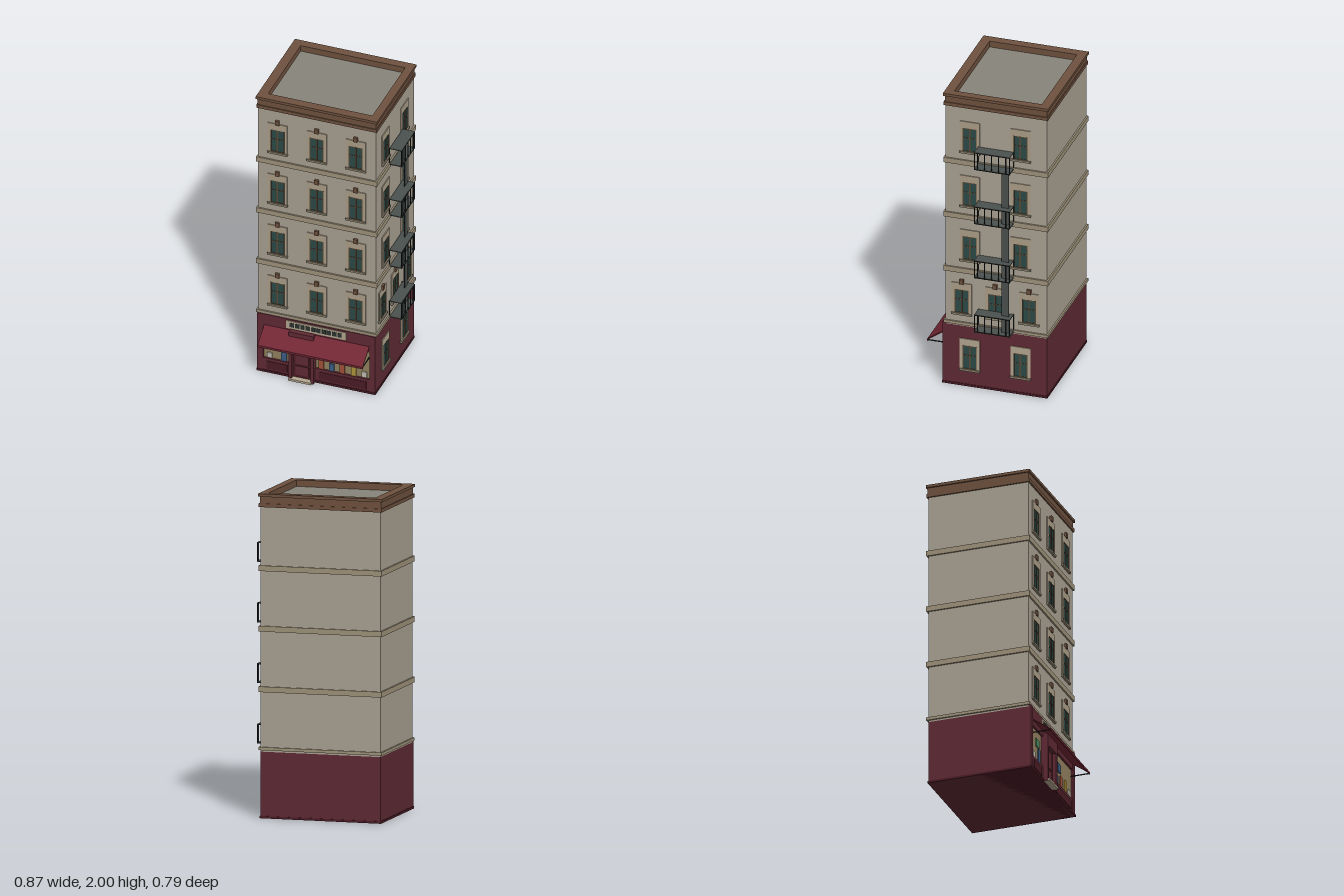
import * as THREE from 'three';

const mat = (color, side = THREE.FrontSide) =>
  new THREE.MeshStandardMaterial({ color, side, roughness: 0.9, flatShading: true });

const M = {
  wall: mat(0xaba394), band: mat(0xa0947c), trim: mat(0xaea08a), sill: mat(0x8f8772),
  brown: mat(0x70523f), roof: mat(0x88857b), red: mat(0x602a34), darkRed: mat(0x4c1c26),
  awning: mat(0x722835, THREE.DoubleSide), glass: mat(0x2c4b49), frame: mat(0x5e4a36),
  metal: mat(0x4b5250), iron: mat(0x232625), cream: mat(0xb5a890), display: mat(0x93825f),
  dark: mat(0x2a3330), blue: mat(0x3d5f86), orange: mat(0xa3523a), yellow: mat(0xb3963c),
  green: mat(0x4b8a62), white: mat(0xc4c0b4),
};

// Box given by its extents along each axis
function box(parent, name, m, x0, x1, y0, y1, z0, z1) {
  const mesh = new THREE.Mesh(new THREE.BoxGeometry(x1 - x0, y1 - y0, z1 - z0), m);
  mesh.position.set((x0 + x1) / 2, (y0 + y1) / 2, (z0 + z1) / 2);
  mesh.name = name;
  parent.add(mesh);
  return mesh;
}

function group(parent, name) {
  const g = new THREE.Group();
  g.name = name;
  parent.add(g);
  return g;
}

// Wall faces
const X0 = -0.425, X1 = 0.342, Z0 = -0.385, Z1 = 0.266;
const STOREY = 0.373;

// Rectangular ring around the roof
function ring(parent, name, m, out, y0, y1) {
  const s = new THREE.Shape();
  const [a, b, c, d] = [X0 - out, X1 + out, Z0 - out, Z1 + out];
  s.moveTo(a, -d).lineTo(b, -d).lineTo(b, -c).lineTo(a, -c).closePath();
  const h = new THREE.Path();
  h.moveTo(-0.378, -0.22).lineTo(-0.378, 0.34).lineTo(0.302, 0.34).lineTo(0.302, -0.22).closePath();
  s.holes.push(h);
  const geo = new THREE.ExtrudeGeometry(s, { depth: y1 - y0, bevelEnabled: false });
  geo.rotateX(-Math.PI / 2);
  const mesh = new THREE.Mesh(geo, m);
  mesh.position.y = y0;
  mesh.name = name;
  parent.add(mesh);
}

// Window facing +z, with its pane bottom at the origin
function makeWindow(parent, { keystone = false, surround = M.trim } = {}) {
  const g = group(parent, 'window');
  const W = 0.045, H = 0.16;
  for (const s of [-1, 1]) {
    const [a, b] = s < 0 ? [-0.064, -W] : [W, 0.064];
    box(g, 'surroundSide', surround, a, b, 0, H, -0.01, 0.006);
  }
  box(g, 'surroundTop', surround, -0.064, 0.064, H, H + 0.045, -0.01, 0.006);
  box(g, 'pane', M.glass, -W, W, 0, H, -0.01, 0.003);
  for (const x of [-W, -0.004, W - 0.005])
    box(g, 'mullion', M.frame, x, x + (x === -0.004 ? 0.008 : 0.005), 0, H, -0.005, 0.007);
  for (const y of [0, 0.09, H - 0.005])
    box(g, 'glazingBar', M.frame, -W, W, y, y + 0.005, -0.005, 0.006);
  box(g, 'sill', M.sill, -0.066, 0.066, -0.013, 0, -0.01, 0.014);
  if (keystone) box(g, 'keystone', M.brown, -0.013, 0.013, 0.2, 0.232, -0.01, 0.014);
  return g;
}

function buildWindows(root) {
  const all = group(root, 'windows');
  const side = (y, z, opts) => {
    const w = makeWindow(all, opts);
    w.position.set(X1, y, z);
    w.rotation.y = Math.PI / 2;
  };
  for (let i = 0; i < 4; i++) {
    const y = 0.5 + i * STOREY;
    for (const x of [-0.298, -0.042, 0.212])
      makeWindow(all, { keystone: true }).position.set(x, y, Z1);
    const zs = i === 0 ? [0.16, -0.055, -0.272] : [0.108, -0.217];
    for (const z of zs) side(y, z, { keystone: i === 0 });
  }
  for (const z of [0.108, -0.217]) side(0.12, z, { surround: M.cream });
}

function buildShopFront(root) {
  const g = group(root, 'shopFront');
  // Pilasters, fascia and stall risers framing the display windows
  box(g, 'pilaster', M.red, X0, -0.387, 0, 0.42, 0.26, 0.283);
  box(g, 'pilaster', M.red, 0.307, X1, 0, 0.42, 0.26, 0.283);
  box(g, 'fascia', M.red, -0.387, 0.307, 0.3, 0.42, 0.26, 0.28);
  box(g, 'stallRiser', M.red, -0.387, -0.21, 0, 0.1, 0.26, 0.28);
  box(g, 'stallRiser', M.red, -0.048, 0.307, 0, 0.1, 0.26, 0.28);
  box(g, 'riserPanel', M.darkRed, -0.365, -0.23, 0.025, 0.08, 0.27, 0.283);
  box(g, 'riserPanel', M.darkRed, -0.025, 0.285, 0.025, 0.08, 0.27, 0.283);
  box(g, 'displayWindow', M.display, -0.387, -0.21, 0.1, 0.3, 0.26, 0.268);
  box(g, 'displayWindow', M.display, -0.048, 0.307, 0.1, 0.3, 0.26, 0.268);

  // Goods on show: material, centre x, width, bottom, top
  for (const [m, x, w, y0, y1] of [
    [M.white, -0.347, 0.032, 0.105, 0.14], [M.blue, -0.255, 0.034, 0.1, 0.19],
    [M.green, -0.283, 0.055, 0.195, 0.245], [M.orange, -0.013, 0.032, 0.1, 0.185],
    [M.blue, 0.057, 0.032, 0.1, 0.153], [M.orange, 0.125, 0.032, 0.1, 0.175],
    [M.yellow, 0.2, 0.03, 0.1, 0.18], [M.white, 0.268, 0.032, 0.105, 0.145],
    [M.blue, 0.088, 0.055, 0.19, 0.245],
  ]) box(g, 'displayGoods', m, x - w / 2, x + w / 2, y0, y1, 0.262, 0.276);

  // Doorway with projecting surround
  const d = group(g, 'doorway');
  box(d, 'doorPost', M.red, -0.21, -0.19, 0, 0.35, 0.26, 0.313);
  box(d, 'doorPost', M.red, -0.068, -0.048, 0, 0.35, 0.26, 0.313);
  box(d, 'doorHead', M.red, -0.19, -0.068, 0.24, 0.35, 0.26, 0.313);
  box(d, 'door', M.darkRed, -0.19, -0.068, 0.015, 0.24, 0.26, 0.29);
  box(d, 'doorPanel', M.red, -0.172, -0.086, 0.035, 0.1, 0.28, 0.294);
  box(d, 'doorPanel', M.red, -0.172, -0.086, 0.115, 0.225, 0.28, 0.294);
  box(d, 'doorstep', M.cream, -0.21, -0.06, 0, 0.014, 0.26, 0.325);

  // Transom light above the awning
  box(g, 'transomFrame', M.cream, -0.237, 0.155, 0.355, 0.41, 0.265, 0.285);
  for (let i = 0; i < 10; i++) {
    const x = -0.212 + i * 0.0345;
    box(g, 'transomPane', M.dark, x, x + 0.028, 0.368, 0.398, 0.27, 0.287);
  }

  // Sloping awning with short valance, and its support arms
  const s = new THREE.Shape();
  s.moveTo(0.28, 0.342).lineTo(0.395, 0.262).lineTo(0.395, 0.248)
    .lineTo(0.39, 0.248).lineTo(0.39, 0.258).lineTo(0.28, 0.335).closePath();
  const geo = new THREE.ExtrudeGeometry(s, { depth: 0.685, bevelEnabled: false });
  geo.rotateY(-Math.PI / 2);
  const awning = new THREE.Mesh(geo, M.awning);
  awning.position.x = 0.304;
  awning.name = 'awning';
  g.add(awning);
  for (const x of [-0.379, 0.297])
    box(g, 'awningArm', M.iron, x, x + 0.005, 0.251, 0.257, 0.27, 0.392);
}

function buildFireEscape(root) {
  const g = group(root, 'fireEscape');
  const xo = 0.428, za = -0.175, zb = 0.053;
  for (let i = 0; i < 4; i++) {
    const y = 0.427 + i * STOREY, top = y + 0.12;
    const b = group(g, 'balcony');
    box(b, 'platform', M.metal, X1, xo, y, y + 0.006, za, zb);
    box(b, 'topPlate', M.metal, 0.35, xo, top - 0.005, top, za, zb);
    for (const yy of [y, top - 0.006])
      box(b, 'rail', M.iron, xo - 0.005, xo + 0.002, yy, yy + 0.006, za, zb);
    for (const z of [za, -0.152, -0.106, -0.06, -0.015, 0.03, zb - 0.005])
      box(b, 'baluster', M.iron, xo - 0.003, xo + 0.003, y, top, z, z + 0.005);
    for (const z of [za, zb - 0.005])
      box(b, 'wallPost', M.iron, X1 + 0.003, X1 + 0.009, y, top, z, z + 0.005);
  }
  // Ladder linking the balconies
  box(g, 'ladderPanel', M.metal, 0.384, 0.388, 0.43, 1.545, -0.155, -0.112);
  for (const z of [-0.157, -0.113])
    box(g, 'ladderStile', M.iron, 0.383, 0.389, 0.43, 1.545, z, z + 0.003);
}

export function createModel() {
  const root = new THREE.Group();
  root.name = 'building';

  // Main walls, ground storey and plinth
  box(root, 'upperWalls', M.wall, X0, X1, 0.41, 1.93, Z0, Z1);
  box(root, 'groundStorey', M.red, X0, X1, 0, 0.41, Z0, 0.262);
  box(root, 'plinth', M.darkRed, X0 - 0.004, X1 + 0.004, 0, 0.014, Z0 - 0.004, 0.286);

  // Ledge at each floor
  for (let i = 0; i < 4; i++) {
    const y = 0.405 + i * STOREY, o = 0.01;
    box(root, 'floorLedge', M.band, X0 - o, X1 + o, y + (i ? 0 : 0.015), y + 0.034, Z0 - o, Z1 + o);
  }

  // Cornice and sunken roof
  ring(root, 'corniceBase', M.brown, 0.009, 1.918, 1.94);
  ring(root, 'parapet', M.brown, 0.003, 1.94, 1.982);
  ring(root, 'corniceCap', M.brown, 0.012, 1.982, 2);
  box(root, 'roof', M.roof, -0.38, 0.304, 1.92, 1.96, -0.342, 0.222);

  buildWindows(root);
  buildShopFront(root);
  buildFireEscape(root);
  return root;
}
